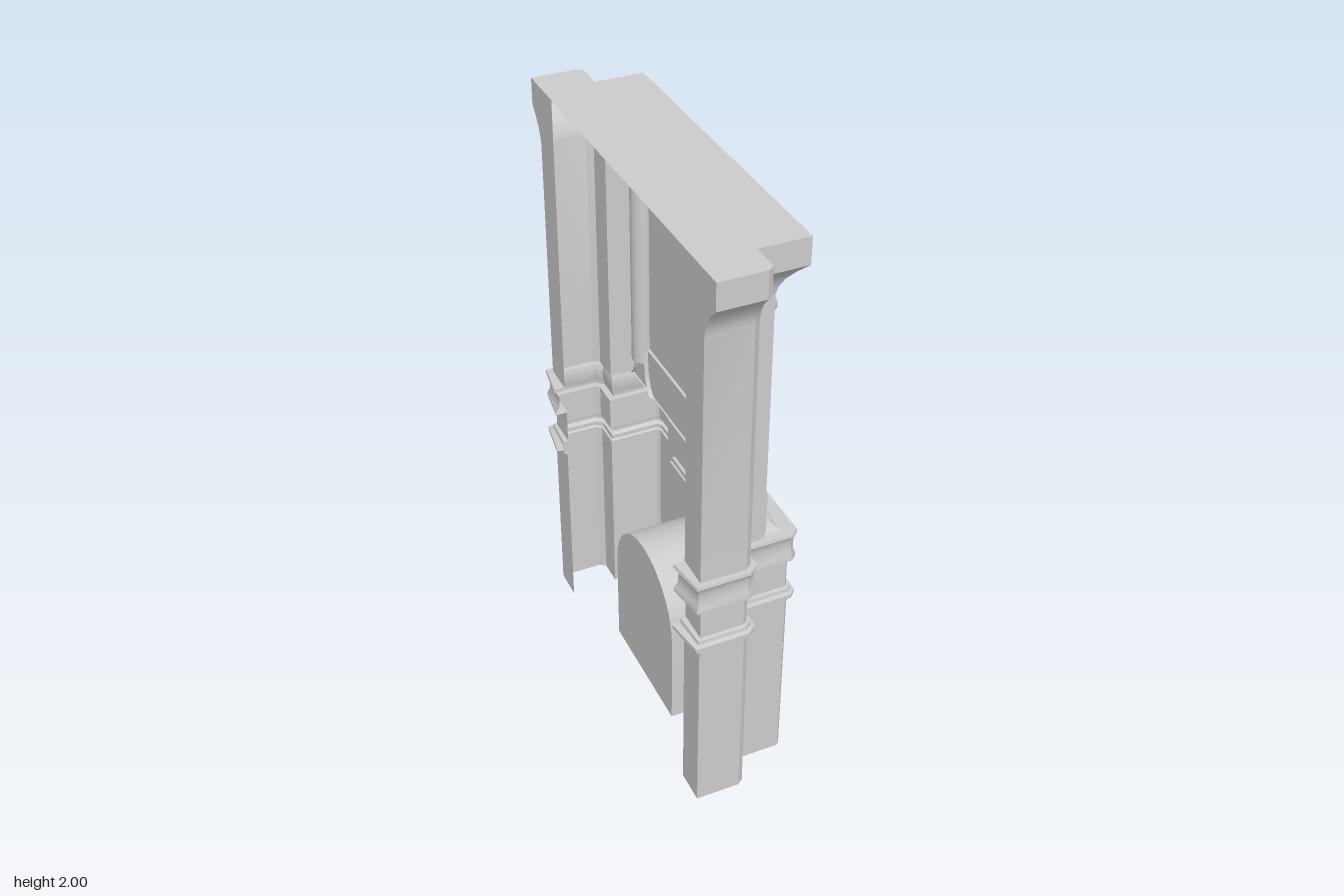
import * as THREE from 'three';
import { toCreasedNormals } from 'three/addons/utils/BufferGeometryUtils.js';

const mat = new THREE.MeshStandardMaterial({ color: 0xcccccc, side: THREE.DoubleSide });

export function createModel() {
  const group = new THREE.Group();
  const add = (name, geo) => {
    const mesh = new THREE.Mesh(geo, mat);
    mesh.name = name;
    group.add(mesh);
    return mesh;
  };

  // Skin a surface over rows of [x, y, z] points
  const loft = (rings) => {
    const n = rings[0].length, index = [];
    for (let j = 0; j < rings.length - 1; j++) {
      for (let i = 0; i < n - 1; i++) {
        const a = j * n + i, d = a + n;
        index.push(a, a + 1, d + 1, a, d + 1, d);
      }
    }
    const geo = new THREE.BufferGeometry();
    geo.setAttribute('position', new THREE.Float32BufferAttribute(rings.flat(2), 3));
    geo.setIndex(index);
    return toCreasedNormals(geo, 0.6);
  };

  // Push a plan path of [x, z] points outward by d with mitred corners
  const offset = (path, d, ends = 1) => {
    const normal = (i) => {
      const [x0, z0] = path[i], [x1, z1] = path[i + 1], l = Math.hypot(x1 - x0, z1 - z0);
      return [-(z1 - z0) / l, (x1 - x0) / l];
    };
    return path.map(([x, z], i) => {
      const first = i === 0, last = i === path.length - 1;
      const a = normal(first ? 0 : i - 1), b = normal(last ? i - 1 : i);
      const k = (first || last ? ends : 1) * d / (1 + a[0] * b[0] + a[1] * b[1]);
      return [x + (a[0] + b[0]) * k, z + (a[1] + b[1]) * k];
    });
  };
  // Run a [offset, height] moulding profile along a plan path
  const sweep = (path, profile, ends) =>
    loft(profile.map(([d, y]) => offset(path, d, ends).map(([x, z]) => [x, y, z])));
  const mirror = (path) => path.map(([x, z]) => [x, -z]).reverse();

  // Shapes drawn across the front, turned to face +x
  const polygon = (pts) => new THREE.Shape(pts.map(([a, b]) => new THREE.Vector2(a, b)));
  const rect = (w, y0, y1) => [[-w, y0], [w, y0], [w, y1], [-w, y1]];
  const facing = (geo, x) => geo.rotateY(Math.PI / 2).translate(x, 0, 0);
  const solid = (shape, x0, x1) =>
    facing(new THREE.ExtrudeGeometry(shape, { depth: x1 - x0, bevelEnabled: false }), x0);
  const arch = (r, spring = 0.35, steps = 14) => {
    const pts = [[r, 0]];
    for (let i = 0; i <= steps; i++) {
      const t = Math.PI * i / steps;
      pts.push([r * Math.cos(t), spring + r * Math.sin(t)]);
    }
    return [...pts, [-r, 0]];
  };

  // Lower body: wings, pilasters and the recessed centre
  const wallX = 0.14, breastX = 0.095, breastZ = 0.49;
  const side = [[-0.17, 0.49], [-0.17, 0.6], [-0.02, 0.6], [0, 0.585], [0, 0.497],
    [0.175, 0.497], [0.185, 0.487], [0.185, 0.307], [wallX, 0.307]];
  const plan = [...side, ...mirror(side)];
  for (const half of [side, mirror(side)]) add('lowerPier', sweep(half, [[0, 0], [0, 0.655]]));
  add('stringMoulding', sweep(plan, [[0, 0.655], [0.006, 0.66], [0.006, 0.675], [0.02, 0.682],
    [0.02, 0.695], [0.008, 0.7], [0.006, 0.712], [-0.004, 0.715]], 2));
  add('frieze', sweep(plan, [[-0.004, 0.715], [-0.004, 0.835]]));
  add('mantelBand', sweep(plan, [[-0.004, 0.835], [0.018, 0.835], [0.018, 0.845], [0.011, 0.865],
    [0.01, 0.9], [0.014, 0.92], [0.02, 0.93], [0.018, 0.94], [0, 0.94]], 2));

  // Mantel shelf closing the top of the lower body
  const shelf = [[0.08, 0.497], ...plan.filter((p) => p[0] > 0.08), [0.08, -0.497]];
  add('mantelShelf', new THREE.ShapeGeometry(polygon(shelf)).rotateX(-Math.PI / 2).translate(0, 0.939, 0));

  // Fireplace opening, surround and firebox
  const inner = arch(0.233), outer = arch(0.262);
  add('archWall', facing(new THREE.ShapeGeometry(
    polygon([[-0.307, 0], ...[...inner].reverse(), [0.307, 0], [0.307, 0.655], [-0.307, 0.655]])), wallX));
  add('archSurround', solid(polygon([...outer, ...[...inner].reverse()]), wallX, 0.18));
  add('keystone', solid(polygon([[-0.024, 0.555], [0.024, 0.555], [0.034, 0.612], [-0.034, 0.612]]), wallX, 0.198));
  add('fireboxLining', loft([wallX, -0.095].map((x) => inner.map(([z, y]) => [x, y, z]))));
  add('fireboxBack', facing(new THREE.ShapeGeometry(polygon(inner)), -0.095));

  // Upper wings, curving outward under the top slab
  const flare = [[0, 1.8], [0.005, 1.825], [0.018, 1.855], [0.04, 1.885], [0.065, 1.912], [0.065, 2]];
  const wing = (d) => [[-0.17, 0.49], [-0.17, 0.6 + d], [-0.02, 0.6 + d], [0, 0.585 + d], [0, 0.49]];
  for (const s of [1, -1]) {
    add('upperWing', loft([[0, 0.94], ...flare].map(([d, y]) =>
      (s > 0 ? wing(d) : mirror(wing(d))).map(([x, z]) => [x, y, z]))));
  }

  // Chimney breast with its recessed panel
  const breast = [[0, breastZ], [breastX, breastZ], [breastX, -breastZ], [0, -breastZ]];
  for (const half of [breast.slice(0, 2), breast.slice(2)]) {
    add('breastSide', sweep(half, [[0, 0.94], [0, 1.8]]));
  }
  const front = polygon(rect(breastZ, 0.94, 1.8));
  front.holes.push(new THREE.Path(polygon(rect(0.24, 1.18, 1.72)).getPoints()));
  add('breastFront', facing(new THREE.ShapeGeometry(front), breastX));
  const loop = (w, y0, y1, x) => [...rect(w, y0, y1), [-w, y0]].map(([a, y]) => [x, y, -a]);
  add('panelBevel', loft([loop(0.24, 1.18, 1.72, breastX), loop(0.22, 1.2, 1.7, 0.065)]));
  add('panel', facing(new THREE.ShapeGeometry(polygon(rect(0.22, 1.2, 1.7))), 0.065));
  add('panelPlinth', solid(polygon(rect(0.48, 0.94, 1.1)), 0.085, 0.105));
  add('coveCornice', sweep(breast, flare.map(([d, y]) => [d * 1.03, y])));

  // Slender columns with flared bases and capitals
  for (const s of [1, -1]) {
    const z = 0.4 * s;
    const block = [[0.07, z + 0.04], [0.113, z + 0.04], [0.113, z - 0.04], [0.07, z - 0.04]];
    add('columnBase', sweep(block, [[0.05, 0.94], [0.036, 0.945], [0.02, 0.965], [0.008, 0.995],
      [0.002, 1.02], [-0.003, 1.1]]));
    add('columnShaft', new THREE.CylinderGeometry(0.035, 0.035, 0.7, 16)).position.set(0.08, 1.4, z);
    add('columnCapital', sweep(block, [[-0.005, 1.71], [0.006, 1.716], [0.011, 1.73], [0.011, 1.752],
      [0.006, 1.764], [-0.004, 1.768], [0, 1.79], [0.008, 1.81], [0.022, 1.835], [0.035, 1.85]]));
  }

  // Top slab
  const corner = [[-0.17, 0.665], [-0.02, 0.665], [0, 0.65], [0, 0.557], [0.162, 0.557]];
  add('topSlab', new THREE.ShapeGeometry(polygon([...corner, ...mirror(corner)]))
    .rotateX(-Math.PI / 2).translate(0, 2, 0));

  return group;
}
